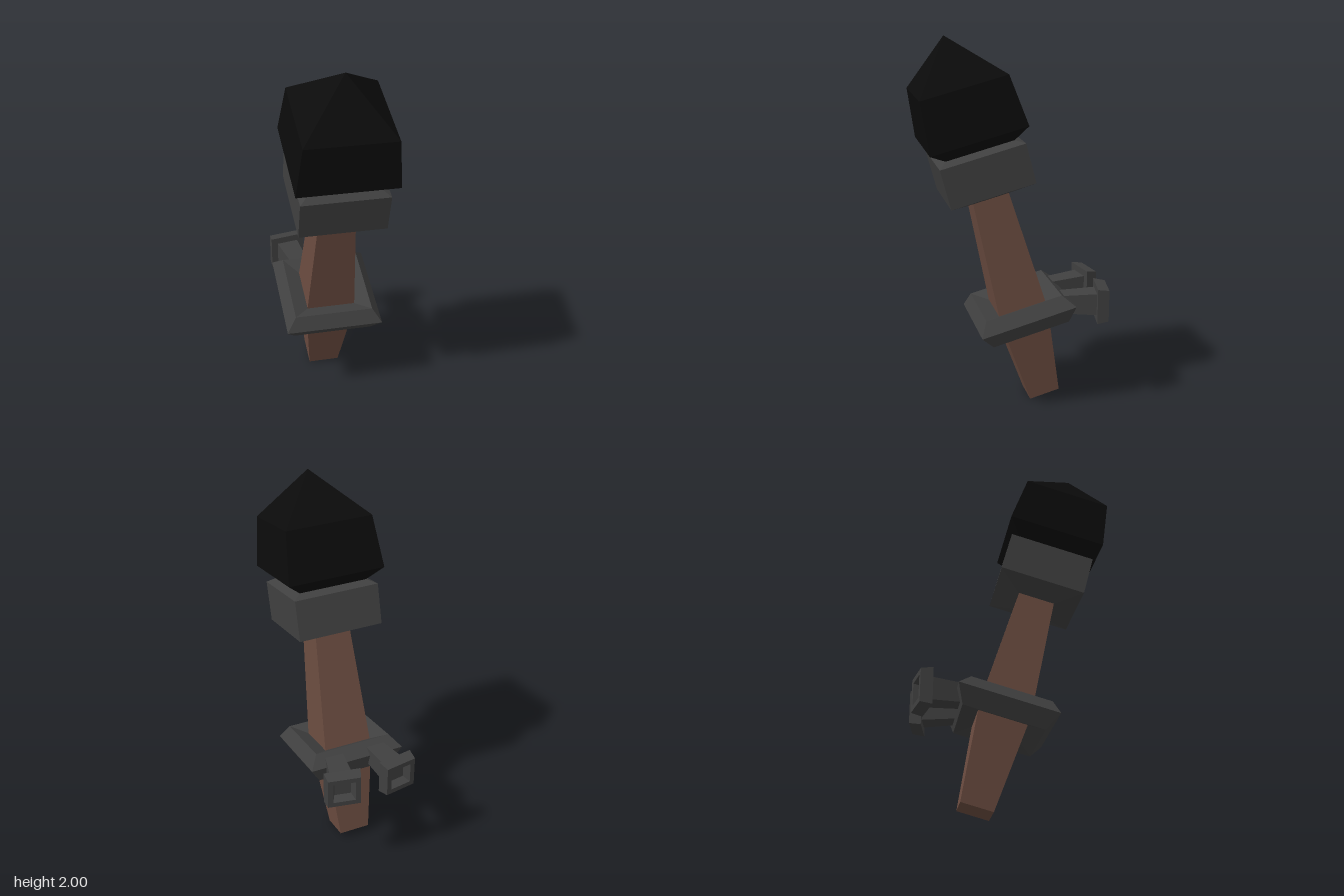
import * as THREE from 'three';

const WOOD = new THREE.MeshStandardMaterial({ color: 0x6b4c40, flatShading: true });
const IRON = new THREE.MeshStandardMaterial({ color: 0x404040, flatShading: true });
const COAL = new THREE.MeshStandardMaterial({ color: 0x0b0b0b, flatShading: true });

// Square-section solid along y; profile is a list of [half width, height]
function squareLoft(name, material, profile) {
  const points = profile.map(([half, y]) => new THREE.Vector2(half * Math.SQRT2, y));
  const geometry = new THREE.LatheGeometry(points, 4, Math.PI / 4).toNonIndexed();
  geometry.computeVertexNormals();
  const mesh = new THREE.Mesh(geometry, material);
  mesh.name = name;
  return mesh;
}

export function createModel() {
  const model = new THREE.Group();
  model.name = 'wallTorch';

  // Torch leaning forward, built upright along its own axis
  const torch = new THREE.Group();
  torch.name = 'torch';
  torch.position.set(-0.005, 0.022, -0.172);
  torch.rotation.set(0.258, 0, -0.0075);
  model.add(torch);

  torch.add(squareLoft('handle', WOOD, [
    [0, 0], [0.085, 0], [0.134, 0.51], [0.097, 1.2], [0, 1.2],
  ]));

  // Bevelled ring around the handle, dished towards the wood
  torch.add(squareLoft('holderRing', IRON, [
    [0.115, 0.47], [0.213, 0.435], [0.263, 0.523], [0.212, 0.592], [0.115, 0.55],
  ]));

  torch.add(squareLoft('collar', IRON, [
    [0, 1.19], [0.1, 1.19], [0.227, 1.234], [0.227, 1.449], [0.17, 1.478], [0, 1.478],
  ]));

  torch.add(squareLoft('head', COAL, [
    [0, 1.465], [0.175, 1.465], [0.258, 1.537], [0.23, 1.807], [0, 2.046],
  ]));

  // Pair of splayed wall mounts, each a stem ending in a hollow foot
  for (const side of [-1, 1]) {
    const mount = squareLoft(side > 0 ? 'leftWallMount' : 'rightWallMount', IRON, [
      [0, 0], [0.048, 0], [0.06, 0.216], [0.097, 0.216],
      [0.087, 0.278], [0.06, 0.278], [0.045, 0.235], [0, 0.235],
    ]);
    mount.position.set(side * 0.113, 0.577, -0.22);
    mount.rotation.set(-Math.PI / 2, -side * 0.175, 0, 'YXZ');
    model.add(mount);
  }
  return model;
}
